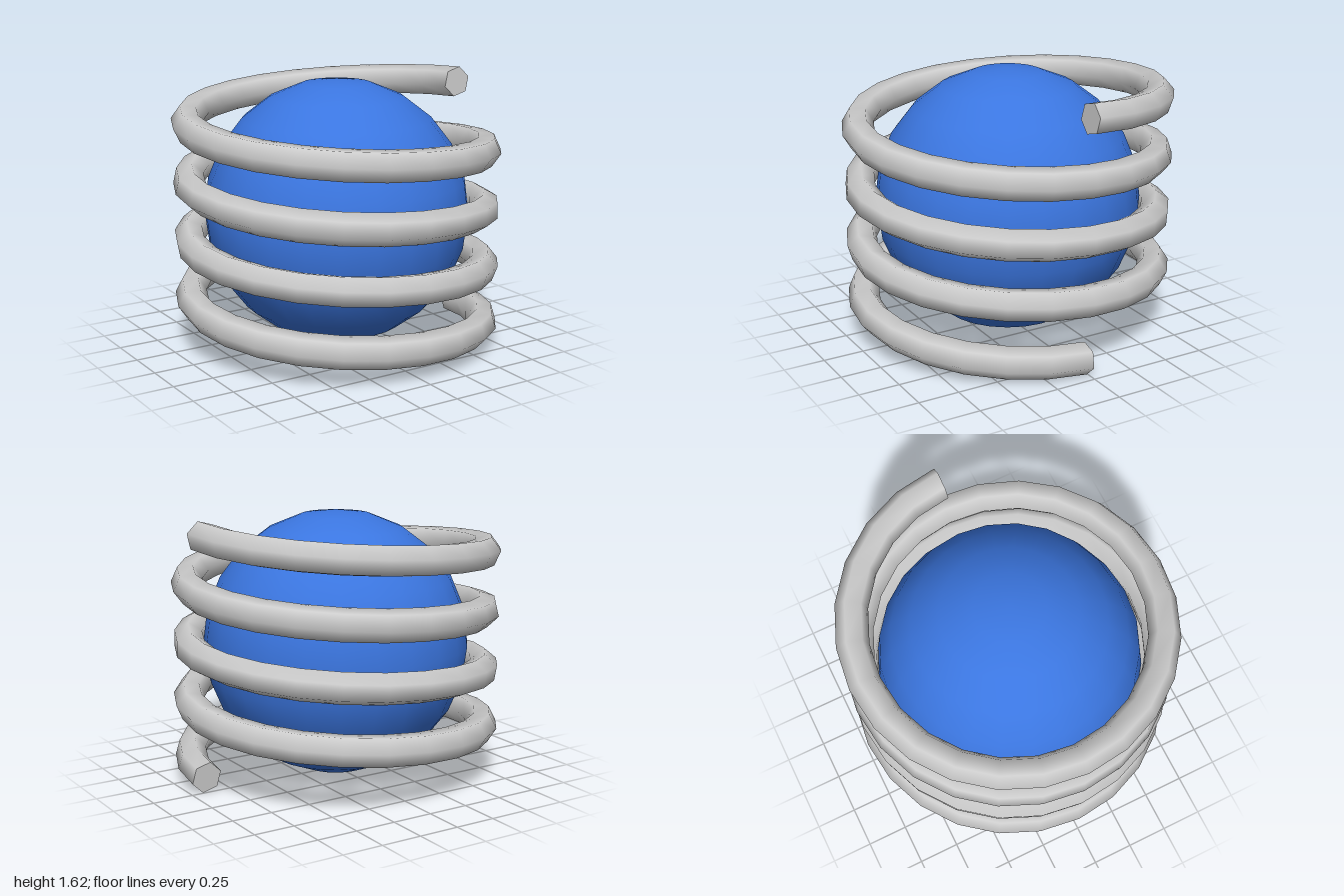
import * as THREE from 'three';

const TURNS = 4, SIDES = 6, STEPS = 24 * TURNS;
const COIL_RADIUS = 0.903, WIRE_RADIUS = 0.096;
const Y_START = 0.093, Y_END = 1.528;

// Rising coil that starts and ends on +x; the wire's hexagon is rolled slightly
class Helix extends THREE.Curve {
  getPoint(t, target = new THREE.Vector3()) {
    const a = t * TURNS * Math.PI * 2;
    return target.set(COIL_RADIUS * Math.cos(a), THREE.MathUtils.lerp(Y_START, Y_END, t), COIL_RADIUS * Math.sin(a));
  }
  getPointAt(t, target) { return this.getPoint(t, target); }
  computeFrenetFrames(segments, closed) {
    const frames = super.computeFrenetFrames(segments, closed);
    const roll = THREE.MathUtils.degToRad(-16);
    frames.tangents.forEach((t, i) => {
      frames.normals[i].applyAxisAngle(t, roll);
      frames.binormals[i].applyAxisAngle(t, roll);
    });
    return frames;
  }
}

// Flat end face made from one ring of the tube
function endCap(tube, ring, flip) {
  const p = tube.attributes.position, points = [], index = [];
  for (let i = 0; i < SIDES; i++) {
    points.push(new THREE.Vector3().fromBufferAttribute(p, ring * (SIDES + 1) + i));
  }
  for (let i = 1; i < SIDES - 1; i++) index.push(0, flip ? i + 1 : i, flip ? i : i + 1);
  const geometry = new THREE.BufferGeometry().setFromPoints(points);
  geometry.setIndex(index);
  geometry.computeVertexNormals();
  return geometry;
}

export function createModel() {
  const model = new THREE.Group();
  const grey = new THREE.MeshStandardMaterial({ color: 0xcccccc });
  const blue = new THREE.MeshStandardMaterial({ color: 0x3b76e0 });
  const add = (name, geometry, material, parent) => {
    const mesh = new THREE.Mesh(geometry, material);
    mesh.name = name;
    parent.add(mesh);
    return mesh;
  };

  // Ball inside the coil
  add('ball', new THREE.SphereGeometry(0.81, 24, 12), blue, model).position.y = 0.813;

  // Coil spring with closed ends
  const spring = new THREE.Group();
  spring.name = 'spring';
  const tube = new THREE.TubeGeometry(new Helix(), STEPS, WIRE_RADIUS, SIDES, false);
  add('coil', tube, grey, spring);
  add('lowerEnd', endCap(tube, 0, false), grey, spring);
  add('upperEnd', endCap(tube, STEPS, true), grey, spring);
  model.add(spring);

  return model;
}
